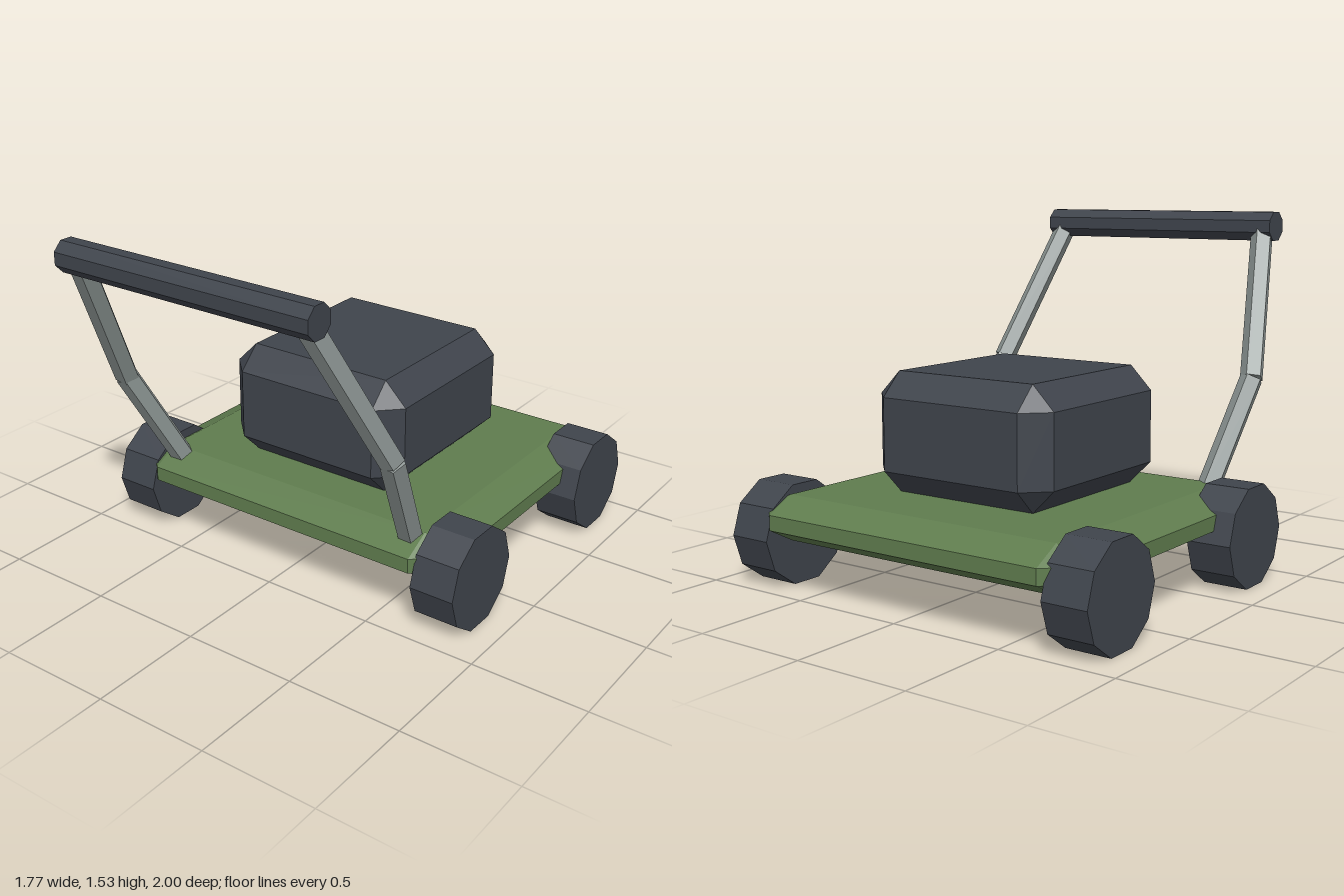
import * as THREE from 'three';
import { ConvexGeometry } from 'three/addons/geometries/ConvexGeometry.js';

const material = (name, color) => {
  const m = new THREE.MeshStandardMaterial({ color, flatShading: true });
  m.name = name;
  return m;
};

// Box whose every edge is cut by one flat bevel; half sizes and bevel per axis
function beveledBox(half, bevel) {
  const points = [];
  for (const sx of [-1, 1]) for (const sy of [-1, 1]) for (const sz of [-1, 1]) {
    for (let axis = 0; axis < 3; axis++) {
      const c = half.map((h, i) => (i === axis ? h : h - bevel[i]));
      points.push(new THREE.Vector3(sx * c[0], sy * c[1], sz * c[2]));
    }
  }
  return new ConvexGeometry(points);
}

export function createModel() {
  const model = new THREE.Group();
  model.name = 'lawnMower';
  const green = material('deck green', 0x5f7c4e);
  const dark = material('dark grey', 0x3f444c);
  const steel = material('tube grey', 0x8e9795);

  const add = (name, geometry, mat, x, y, z) => {
    const mesh = new THREE.Mesh(geometry, mat);
    mesh.name = name;
    mesh.position.set(x, y, z);
    model.add(mesh);
    return mesh;
  };

  // Cutting deck and engine block
  add('deck', beveledBox([0.8, 0.097, 0.725], [0.133, 0.065, 0.121]), green, 0, 0.294, -0.272);
  add('engine', beveledBox([0.438, 0.253, 0.452], [0.1, 0.1, 0.1]), dark, 0, 0.643, -0.214);

  // Ten-sided wheels
  const wheel = new THREE.CylinderGeometry(0.222, 0.222, 0.197, 10).rotateZ(Math.PI / 2);
  for (const side of [1, -1]) {
    const label = side > 0 ? 'left' : 'right';
    add(label + 'FrontWheel', wheel, dark, side * 0.785, 0.211, 0.244);
    add(label + 'BackWheel', wheel, dark, side * 0.785, 0.211, -0.777);
  }

  // Five-sided handle tubes, bent outward at the middle joint
  const up = new THREE.Vector3(0, 1, 0);
  const tube = (name, a, b) => {
    const dir = b.clone().sub(a);
    const mid = a.clone().add(b).multiplyScalar(0.5);
    const geometry = new THREE.CylinderGeometry(0.052, 0.052, dir.length(), 5, 1, false, Math.PI);
    add(name, geometry, steel, mid.x, mid.y, mid.z)
      .quaternion.setFromUnitVectors(up, dir.normalize());
  };
  for (const side of [1, -1]) {
    const label = side > 0 ? 'left' : 'right';
    const foot = new THREE.Vector3(side * 0.603, 0.335, 0.328);
    const joint = new THREE.Vector3(side * 0.676, 0.815, 0.588);
    const top = new THREE.Vector3(side * 0.54, 1.455, 0.93);
    tube(label + 'LowerHandleTube', foot, joint);
    tube(label + 'UpperHandleTube', joint, top);
  }

  // Eight-sided grip bar
  const grip = new THREE.CylinderGeometry(0.07, 0.07, 1.208, 8, 1, false, Math.PI / 8).rotateZ(Math.PI / 2);
  add('gripBar', grip, dark, 0, 1.462, 0.935);

  return model;
}
